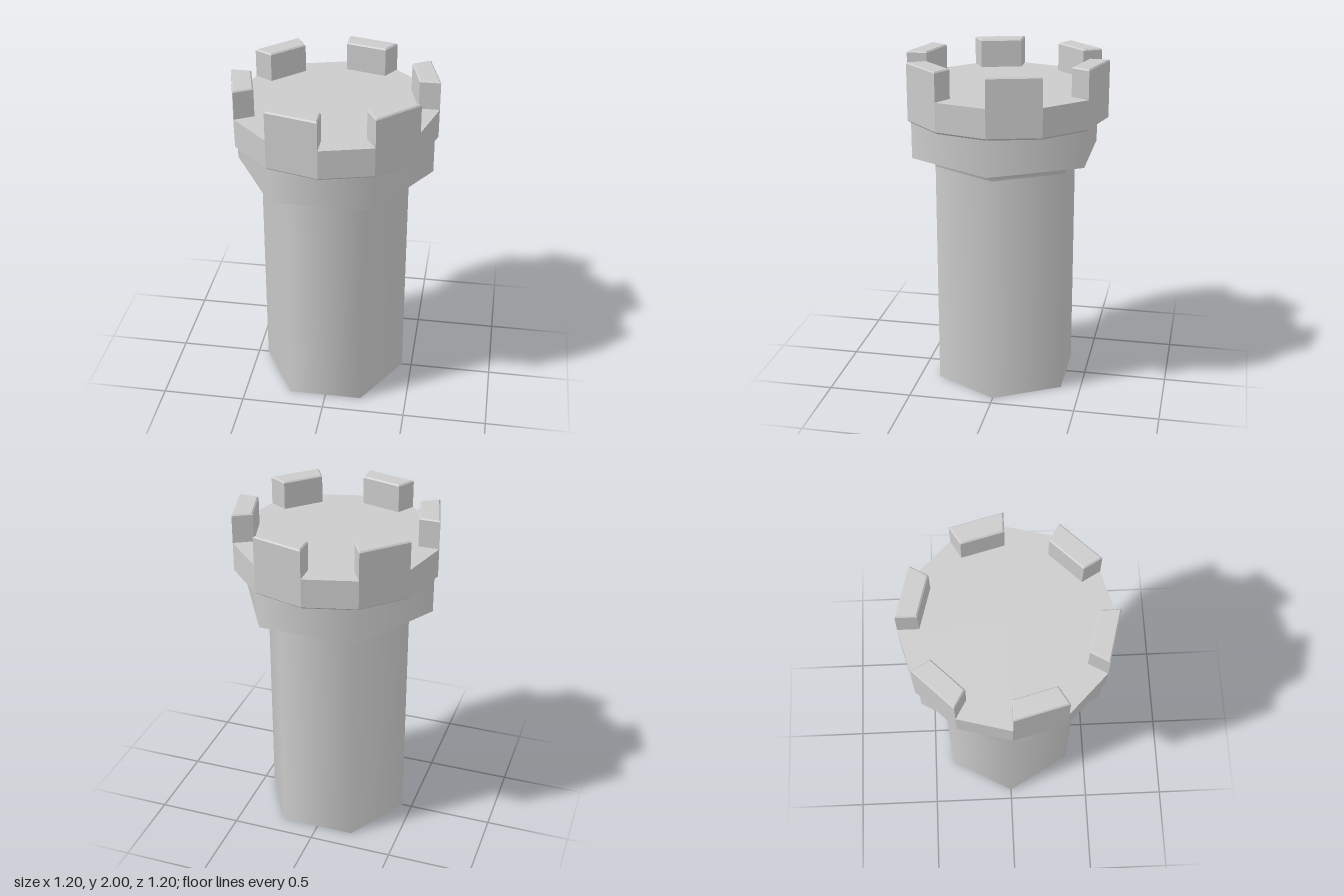
import * as THREE from 'three';

const smooth = new THREE.MeshStandardMaterial({ color: 0xcccccc });
const flat = new THREE.MeshStandardMaterial({ color: 0xcccccc, flatShading: true });

export function createModel() {
  const model = new THREE.Group();
  model.name = 'castleBolt';

  const add = (name, geometry, material) => {
    const mesh = new THREE.Mesh(geometry, material);
    mesh.name = name;
    model.add(mesh);
    return mesh;
  };

  // Prism between two heights, with corners on the x axis
  const prism = (name, rTop, rBottom, y0, y1, sides, material, open = false) =>
    add(name, new THREE.CylinderGeometry(rTop, rBottom, y1 - y0, sides, 1, open, Math.PI / 2)
      .translate(0, (y0 + y1) / 2, 0), material);

  // Six-sided shaft and collar, softly shaded across the corners
  prism('shaft', 0.44, 0.44, 0, 1.37, 6, smooth);
  prism('collar', 0.58, 0.58, 1.435, 1.655, 6, smooth);

  // Hollow fillet joining shaft and collar
  const fillet = [[0.44, 1.37], [0.447, 1.395], [0.462, 1.415], [0.488, 1.428], [0.52, 1.436]]
    .map(([r, y]) => new THREE.Vector2(r, y));
  add('fillet', new THREE.LatheGeometry(fillet, 6, Math.PI / 2), smooth);

  // Twelve-sided head with a small bevel underneath
  prism('headBevel', 0.6, 0.585, 1.65, 1.662, 12, flat);
  prism('head', 0.6, 0.6, 1.662, 1.83, 12, flat);

  // Six bevelled teeth on every other edge of the head
  const corner = (r, a) => new THREE.Vector2(r * Math.cos(a), r * Math.sin(a));
  const bevel = 0.008;
  const tooth = new THREE.ExtrudeGeometry(
    new THREE.Shape([
      corner(0.48, 0), corner(0.6, 0), corner(0.6, Math.PI / 6), corner(0.48, Math.PI / 6),
    ]),
    {
      depth: 0.18 - 2 * bevel, bevelEnabled: true, bevelSegments: 1,
      bevelSize: bevel, bevelThickness: bevel, bevelOffset: -bevel,
    },
  ).rotateX(-Math.PI / 2).translate(0, 1.82 + bevel, 0);
  for (let i = 0; i < 6; i++) {
    add('tooth' + (i + 1), tooth, flat).rotation.y = (i * Math.PI) / 3;
  }

  return model;
}
